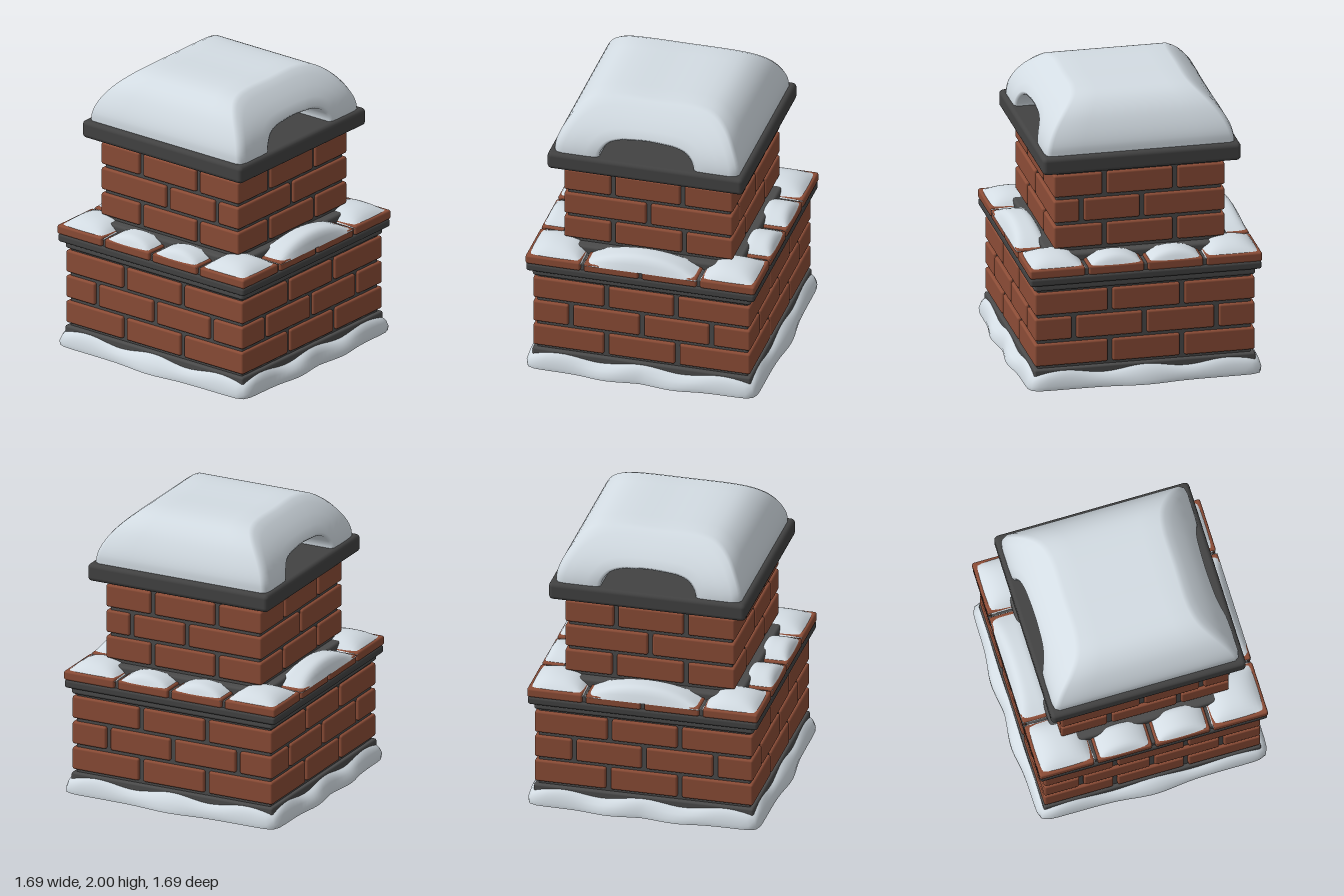
import * as THREE from 'three';
import { RoundedBoxGeometry } from 'three/addons/geometries/RoundedBoxGeometry.js';

const material = (name, color) => Object.assign(new THREE.MeshStandardMaterial({ color }), { name });

export function createModel() {
  const brick = material('brick', 0x8b4c36);
  const mortar = material('mortar', 0x4b4b4b);
  const trim = material('trim', 0x424242);
  const snow = material('snow', 0xd3dce3);
  snow.side = THREE.DoubleSide;
  const model = new THREE.Group();
  model.name = 'chimney';

  const add = (parent, name, geo, mat) => {
    const m = new THREE.Mesh(geo, mat);
    m.name = name;
    parent.add(m);
    return m;
  };
  const group = (name) => {
    const g = new THREE.Group();
    g.name = name;
    model.add(g);
    return g;
  };
  // Rounded block from its limits
  const block = (parent, name, mat, x0, x1, y0, y1, z0, z1, r = 0.015) => {
    const geo = new RoundedBoxGeometry(x1 - x0, y1 - y0, z1 - z0, 2, r);
    add(parent, name, geo, mat).position.set((x0 + x1) / 2, (y0 + y1) / 2, (z0 + z1) / 2);
  };
  const slab = (name, mat, h, y0, y1, r) => block(model, name, mat, -h, h, y0, y1, -h, h, r);

  // Surface through rings of points, each ring closed
  const loft = (rows) => {
    const n = rows[0].length, index = [];
    for (let j = 0; j < rows.length - 1; j++) {
      for (let i = 0; i < n; i++) {
        const k = (i + 1) % n;
        const a = j * n + i, b = j * n + k, c = a + n, d = b + n;
        index.push(a, c, b, b, c, d);
      }
    }
    const geo = new THREE.BufferGeometry();
    geo.setAttribute('position', new THREE.Float32BufferAttribute(rows.flat(2), 3));
    geo.setIndex(index);
    geo.computeVertexNormals();
    return geo;
  };

  // One course of bricks around a square wall; seams split each face
  const course = (parent, h, y0, y1, depth, seamsX, seamsZ, gap = 0.016) => {
    const spans = (seams) => {
      const e = [-h, ...seams, h];
      return e.slice(1).map((b, i) => [
        e[i] + (i ? gap : 0),
        b - (i < seams.length ? gap : 0),
      ]);
    };
    for (const s of [-1, 1]) {
      const lo = s > 0 ? h - depth : -h, hi = lo + depth;
      for (const [a, b] of spans(seamsX)) block(parent, 'brick', brick, a, b, y0, y1, lo, hi);
      for (const [a, b] of spans(seamsZ)) block(parent, 'brick', brick, lo, hi, y0, y1, a, b);
    }
  };

  // Lower stack
  slab('lowerMortar', mortar, 0.742, 0.02, 0.78, 0.01);
  slab('plinth', mortar, 0.77, 0.01, 0.14, 0.015);
  const lower = group('lowerBricks');
  const outerSeams = [-0.26, 0.24], innerSeams = [-0.5, 0, 0.49];
  course(lower, 0.765, 0.16, 0.32, 0.08, outerSeams, [-0.25, 0.25]);
  course(lower, 0.765, 0.345, 0.505, 0.08, innerSeams, [-0.49, 0, 0.5]);
  course(lower, 0.765, 0.53, 0.69, 0.08, outerSeams, [-0.24, 0.25]);
  slab('ledgeCove', mortar, 0.77, 0.705, 0.77, 0.02);
  slab('ledgeTrim', trim, 0.805, 0.755, 0.813, 0.018);

  // Ledge of tile bricks over a mortar bed
  slab('ledgeBed', mortar, 0.785, 0.8, 0.862, 0.01);
  slab('ledgeFillet', mortar, 0.64, 0.84, 0.915, 0.02);
  course(group('ledgeBricks'), 0.808, 0.812, 0.878, 0.2, [-0.41, 0, 0.41], [-0.41, 0, 0.41], 0.012);

  // Snow mounds on the ledge
  const ledgeSnow = group('ledgeSnow');
  const mound = (x, z, w, d, height, px, pz) => {
    const geo = new THREE.PlaneGeometry(w, d, 14, 14).rotateX(-Math.PI / 2);
    const p = geo.attributes.position;
    for (let i = 0; i < p.count; i++) {
      const u = Math.abs(2 * p.getX(i) / w), v = Math.abs(2 * p.getZ(i) / d);
      p.setY(i, height * (1 - u ** px) * (1 - v ** pz) - 0.012 * Math.max(u, v) ** 8);
    }
    geo.computeVertexNormals();
    add(ledgeSnow, 'snowMound', geo, snow).position.set(x, 0.876, z);
  };
  for (const s of [-1, 1]) {
    for (const x of [-0.205, 0.205]) mound(x, s * 0.69, 0.38, 0.235, 0.06, 2, 4);
    for (const x of [-0.61, 0.61]) mound(x, s * 0.61, 0.385, 0.385, 0.06, 2.5, 2.5);
    mound(s * 0.69, 0, 0.24, 0.8, 0.09, 4, 2);
  }

  // Upper stack
  slab('upperMortar', mortar, 0.572, 0.85, 1.53, 0.01);
  const upper = group('upperBricks');
  course(upper, 0.595, 0.94, 1.1, 0.08, [-0.25, 0.24], [-0.25, 0.25]);
  course(upper, 0.595, 1.125, 1.285, 0.08, [-0.02, 0.4], [0]);
  course(upper, 0.595, 1.31, 1.47, 0.08, [-0.25, 0.24], [-0.24, 0.25]);
  slab('neck', mortar, 0.585, 1.475, 1.52, 0.015);
  slab('capSlab', trim, 0.69, 1.51, 1.635, 0.03);

  // Wavy snow drift round the foot
  const N = 144;
  const ring = (half, y, wave, rise) => Array.from({ length: N }, (_, i) => {
    const a = (i / N) * Math.PI * 2, c = Math.cos(a), s = Math.sin(a);
    const k = 1 / (Math.abs(c) ** 24 + Math.abs(s) ** 24) ** (1 / 24);
    const onX = Math.abs(c) > Math.abs(s);
    const t = onX ? s * k : c * k;
    const bump = onX ? Math.exp(-(((Math.abs(t) - 0.28) / 0.2) ** 2)) : Math.exp(-((t / 0.25) ** 2));
    const top = y + rise * Math.cos(t * 8.5);
    const r = half + wave * bump;
    return [c * k * r, top, s * k * r];
  });
  add(model, 'groundSnow', loft([
    ring(0, 0, 0, 0), ring(0.815, 0, 0.03, 0), ring(0.815, 0, 0.03, 0),
    ring(0.818, 0.03, 0.027, 0), ring(0.806, 0.07, 0.018, 0.008),
    ring(0.787, 0.1, 0.006, 0.014), ring(0.76, 0.112, 0, 0.016),
  ]), snow);

  // Arched snow heap on the cap, with a tunnel along x
  const arch = (half) => new THREE.CatmullRomCurve3([
    ...half.map(([z, y]) => new THREE.Vector3(0, y, -z)),
    ...half.slice(0, -1).reverse().map(([z, y]) => new THREE.Vector3(0, y, z)),
  ]);
  const outer = arch([[0.65, 1.625], [0.645, 1.7], [0.605, 1.8], [0.535, 1.9], [0.44, 1.968], [0.31, 1.998], [0, 2]]);
  const inner = arch([[0.335, 1.625], [0.33, 1.66], [0.31, 1.7], [0.27, 1.74], [0.2, 1.765], [0.1, 1.775], [0, 1.78]]);
  const endHalf = [[0.6, 0], [0.94, 0], [0.985, 0.06], [1, 0.2], [1, 0.45], [1, 0.7], [0.995, 0.92], [0.97, 1], [0.6, 1]];
  const section = [
    [0, 0], ...endHalf, [0, 1],
    ...endHalf.slice().reverse().map(([s, v]) => [-s, v]),
  ];
  const rows = [];
  for (let j = 0; j <= 48; j++) {
    const o = outer.getPoint(j / 48), n = inner.getPoint(j / 48);
    rows.push(section.map(([s, v]) => {
      const p = o.clone().lerp(n, v);
      const u = (p.y - 1.63) / 0.37;
      return [s * (0.4 + 0.26 * (1 - u * u)), p.y, p.z];
    }));
  }
  add(model, 'capSnow', loft(rows), snow);

  return model;
}
